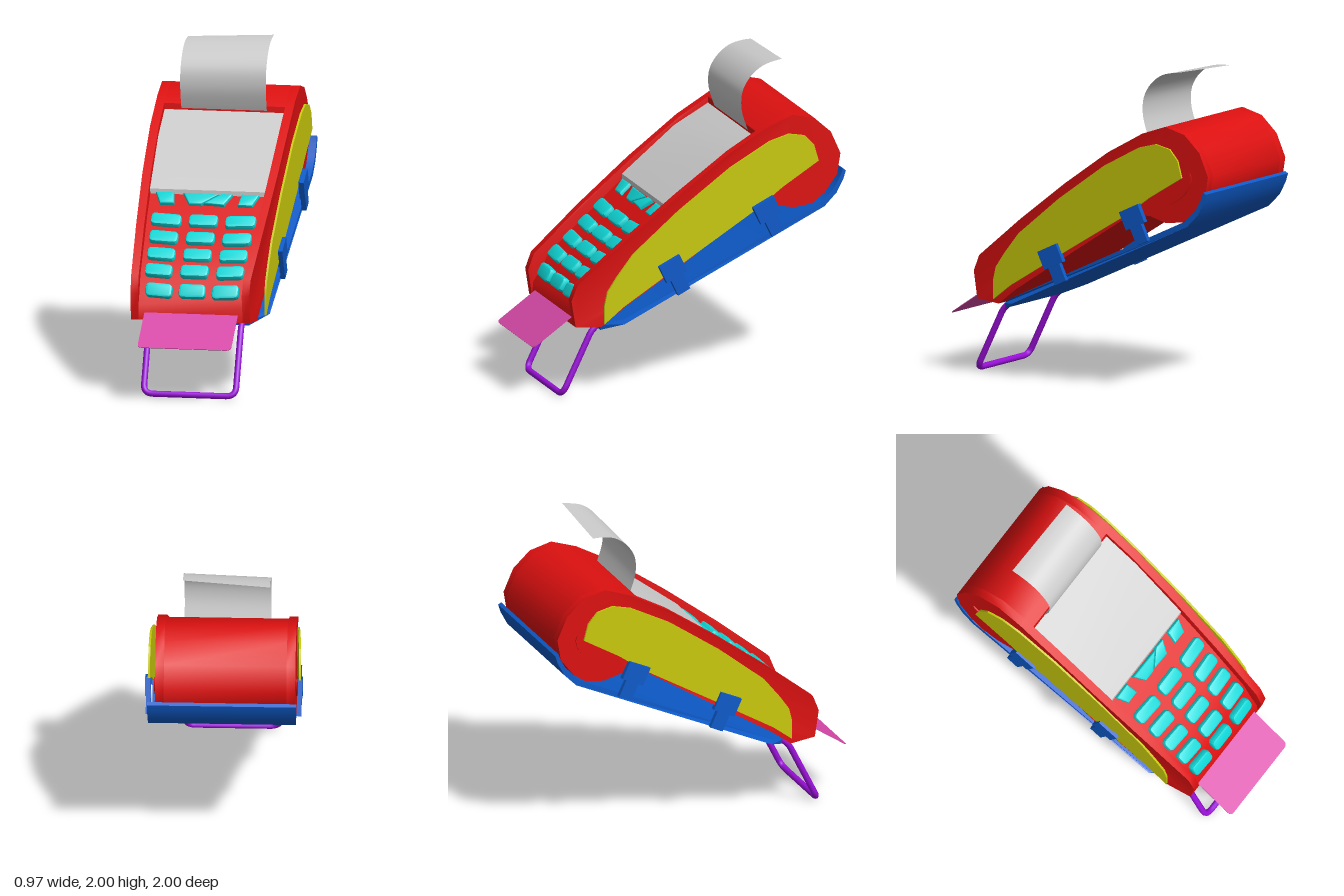
import * as THREE from 'three';
import { toCreasedNormals } from 'three/addons/utils/BufferGeometryUtils.js';

const mat = (color) => new THREE.MeshStandardMaterial({ color, side: THREE.DoubleSide });
const RED = mat(0xdd1010), BLUE = mat(0x0d5ac8), YELLOW = mat(0xc8c80c), PURPLE = mat(0x9a0fd8);
const PINK = mat(0xd848a8), CYAN = mat(0x10d8d8), GREY = mat(0xcccccc);
const CX = -0.021; // centre line of the body

function add(parent, name, geometry, material) {
  const mesh = new THREE.Mesh(geometry, material);
  mesh.name = name;
  parent.add(mesh);
  return mesh;
}

// Side profile of [z, y] points, extruded from x0 to x1; bend(x, z) may move x
function slab(points, x0, x1, bend) {
  const shape = new THREE.Shape(points.map(([z, y]) => new THREE.Vector2(z, y)));
  const geo = new THREE.ExtrudeGeometry(shape, { depth: x1 - x0, bevelEnabled: false });
  geo.rotateY(-Math.PI / 2).translate(x1, 0, 0);
  const p = geo.attributes.position;
  if (bend) for (let i = 0; i < p.count; i++) p.setX(i, bend(p.getX(i), p.getZ(i)));
  return toCreasedNormals(geo, 0.6);
}

function roundRect(w, h, r, skew = 0) {
  const s = new THREE.Shape(), x = w / 2, y = h / 2;
  s.moveTo(-x + r, -y);
  s.lineTo(x - r, -y).quadraticCurveTo(x, -y, x, -y + r);
  s.lineTo(x, y - r).quadraticCurveTo(x, y, x - r, y);
  s.lineTo(-x + r, y).quadraticCurveTo(-x, y, -x, y - r);
  s.lineTo(-x, -y + r).quadraticCurveTo(-x, -y, -x + r, -y);
  const pts = s.getPoints(3);
  pts.forEach((v) => { v.y += v.x * skew; });
  return new THREE.Shape(pts);
}

// The body narrows towards the keypad end
const taper = (x, z) => {
  const t = Math.max(0, (z + 0.2) / 0.97);
  return CX + (x - CX) * (1 - 0.14 * Math.pow(t, 1.4));
};

function buildBody(group) {
  const top = [[0.753, 0.47], [0.78, 0.64], [0.74, 0.74], [0.42, 1.0], [0.08, 1.257], [-0.25, 1.487], [-0.44, 1.592]];
  const floor = [[0.753, 0.47], [0.745, 0.56], [0.7, 0.62], [0.64, 0.73], [0.42, 0.91], [0.14, 1.14],
    [-0.22, 1.4], [-0.435, 1.52], [-0.44, 1.592]];
  const rear = [[-0.5, 1.626], [-0.668, 1.684], [-0.81, 1.647], [-0.92, 1.545], [-0.984, 1.4], [-0.962, 1.267],
    [-0.877, 1.155], [-0.796, 1.1], [-0.673, 1.086], [-0.555, 1.118], [-0.42, 1.115],
    [0.035, 0.825], [0.45, 0.56], [0.587, 0.455]];
  add(group, 'bodyCore', slab([...floor, ...rear], -0.398, 0.356, taper), RED);
  add(group, 'leftRim', slab([...top, ...rear], 0.356, 0.41, taper), RED);
  add(group, 'rightRim', slab([...top, ...rear], -0.452, -0.398, taper), RED);

  // Half-round hinge covers on both ends of the paper drum
  const cover = [];
  for (let i = 0; i <= 10; i++) {
    const a = (i / 10) * Math.PI, c = Math.cos(a) * 0.158, s = Math.sin(a) * 0.09;
    cover.push([-0.727 + c * 0.8 - s * 0.6, 1.318 - c * 0.6 - s * 0.8]);
  }
  add(group, 'leftDrumCover', slab(cover, 0.4, 0.418), RED);
  add(group, 'rightDrumCover', slab(cover, -0.46, -0.44), RED);

  // Side panels
  const panel = [[0.59, 0.49], [0.59, 0.61], [0.57, 0.695], [0.507, 0.786], [0.4, 0.92], [0.1, 1.166], [-0.24, 1.406],
    [-0.5, 1.545], [-0.625, 1.578], [-0.73, 1.556], [-0.79, 1.49], [-0.82, 1.385], [-0.58, 1.24],
    [-0.42, 1.123], [0.035, 0.85], [0.464, 0.588]];
  add(group, 'leftPanel', slab(panel, 0.425, 0.438, (x, z) => x - 0.025 * z), YELLOW);
  add(group, 'rightPanel', slab(panel, -0.448, -0.435, (x, z) => x + 0.045 * z), YELLOW);

  const screen = [[0.14, 1.17], [-0.21, 1.437], [-0.438, 1.555], [-0.438, 1.5], [-0.21, 1.38], [0.14, 1.11]];
  add(group, 'screen', slab(screen, -0.396, 0.356), GREY);
}

function buildKeys(group) {
  const keypad = new THREE.Group();
  keypad.name = 'keypad';
  group.add(keypad);
  const bevel = { depth: 0.03, bevelThickness: 0.012, bevelSize: 0.012, bevelSegments: 2 };
  const key = (name, shape, x, y, z, tilt) => {
    const geo = toCreasedNormals(new THREE.ExtrudeGeometry(shape, bevel).translate(0, 0, -0.035), 0.5);
    const k = add(keypad, name, geo, CYAN);
    k.position.set(x, y, z);
    k.rotation.x = -tilt;
  };
  // [y, z, tilt, column spacing, outer key width, middle key width]
  const rows = [
    [1.02, 0.325, 0.885, 0.232, 0.19, 0.18], [0.933, 0.432, 0.885, 0.228, 0.18, 0.178],
    [0.848, 0.535, 0.885, 0.225, 0.175, 0.176], [0.765, 0.637, 0.84, 0.223, 0.17, 0.175],
    [0.655, 0.722, 0.5, 0.207, 0.165, 0.165]];
  rows.forEach(([y, z, tilt, gap, outer, middle]) => {
    for (const c of [-1, 0, 1]) {
      const w = (c ? outer : middle) - 0.024;
      key('key', roundRect(w, 0.064, 0.016, c * 0.06), CX + 0.003 + c * gap, y, z, tilt);
    }
  });
  // Top row: two small outer keys and a pair split by a slanting gap
  const h = 0.033;
  const poly = (pts) => new THREE.Shape(pts.map(([x, s]) => new THREE.Vector2(x, s * h)));
  const topRow = [
    [[-0.33, 1], [-0.24, 1], [-0.232, -1], [-0.3, -1]],
    [[-0.158, 1], [0.035, 1], [-0.055, -1], [-0.12, -1]],
    [[0.07, 1], [0.122, 1], [0.085, -1], [-0.02, -1]],
    [[0.2, 1], [0.288, 1], [0.26, -1], [0.19, -1]]];
  topRow.forEach((pts) => key('functionKey', poly(pts.reverse()), 0, 1.125, 0.185, 0.885));
}

function buildTray(group) {
  // Back plate with a curled rear lip and chamfered front corners
  const profile = [[0.58, 0.452], [0.46, 0.508], [-0.84, 1.115], [-0.92, 1.19], [-0.965, 1.27], [-0.98, 1.312],
    [-1.0, 1.3], [-0.985, 1.25], [-0.94, 1.165], [-0.86, 1.085], [0.455, 0.474], [0.572, 0.42]];
  const bend = (x, z) => Math.sign(x) * (z > 0.5 ? 0.31 : 0.458 - 0.026 * (z + 1));
  add(group, 'backPlate', slab(profile, -0.45, 0.45, bend), BLUE);

  // Clips holding the body to the plate
  for (const side of [-1, 1]) {
    for (const [z, y, x] of [[0.147, 0.802, 0.443], [-0.47, 1.112, 0.466]]) {
      const clip = new THREE.Group();
      clip.name = 'clip';
      clip.position.set(side * x, y, z);
      clip.rotation.x = 0.441;
      add(clip, 'clipHead', new THREE.BoxGeometry(0.034, 0.12, 0.15), BLUE);
      add(clip, 'clipPost', new THREE.BoxGeometry(0.03, 0.15, 0.088), BLUE).position.set(-side * 0.003, -0.098, 0);
      group.add(clip);
    }
  }
}

function buildHandle(group) {
  const V = (x, y, z) => new THREE.Vector3(CX + 0.003 + x, y, z);
  const w = 0.287, r = 0.06;
  const path = new THREE.CurvePath();
  const line = (a, b) => path.add(new THREE.LineCurve3(a, b));
  const bow = (a, b, c) => path.add(new THREE.QuadraticBezierCurve3(a, b, c));
  const foot = [0.02, 0.808], up = [0.02 + r * 0.89, 0.808 - r * 0.45];
  line(V(-w, 0.45, 0.565), V(-w, 0.42, 0.6));
  bow(V(-w, 0.42, 0.6), V(-w, 0.4, 0.62), V(-w, 0.37, 0.634));
  line(V(-w, 0.37, 0.634), V(-w, ...up));
  bow(V(-w, ...up), V(-w, ...foot), V(-w + r, ...foot));
  line(V(-w + r, ...foot), V(w - r, ...foot));
  bow(V(w - r, ...foot), V(w, ...foot), V(w, ...up));
  line(V(w, ...up), V(w, 0.37, 0.634));
  bow(V(w, 0.37, 0.634), V(w, 0.4, 0.62), V(w, 0.42, 0.6));
  line(V(w, 0.42, 0.6), V(w, 0.45, 0.565));
  add(group, 'handle', new THREE.TubeGeometry(path, 120, 0.0195, 10), PURPLE);
}

function buildPaper(group) {
  // Curling receipt, its free end slightly askew
  const curve = new THREE.CatmullRomCurve3([[1.56, -0.44], [1.6, -0.425], [1.69, -0.398], [1.775, -0.394], [1.84, -0.41],
    [1.914, -0.46], [1.968, -0.533], [1.99, -0.61], [1.998, -0.662]].map(([y, z]) => new THREE.Vector3(0, y, z)));
  const geo = new THREE.PlaneGeometry(1, 1, 1, 24);
  const p = geo.attributes.position;
  for (let i = 0; i < p.count; i++) {
    const t = p.getY(i) + 0.5, c = curve.getPoint(t), right = p.getX(i) < 0;
    p.setXYZ(i, right ? -0.291 : 0.242 + 0.005 * t, c.y - (right ? 0.03 * t * t : 0), c.z - (right ? 0.018 * t * t : 0));
  }
  geo.computeVertexNormals();
  add(group, 'receipt', geo, GREY);
}

export function createModel() {
  const group = new THREE.Group();
  group.name = 'cardTerminal';
  buildBody(group);
  buildKeys(group);
  buildTray(group);
  buildHandle(group);
  buildPaper(group);

  // Card in the front slot
  const cardGeo = new THREE.ExtrudeGeometry(roundRect(0.583, 0.4, 0.03), { depth: 0.004, bevelEnabled: false });
  const card = add(group, 'card', cardGeo, PINK);
  card.position.set(CX + 0.003, 0.454, 0.834);
  card.rotation.x = -0.98;
  return group;
}
